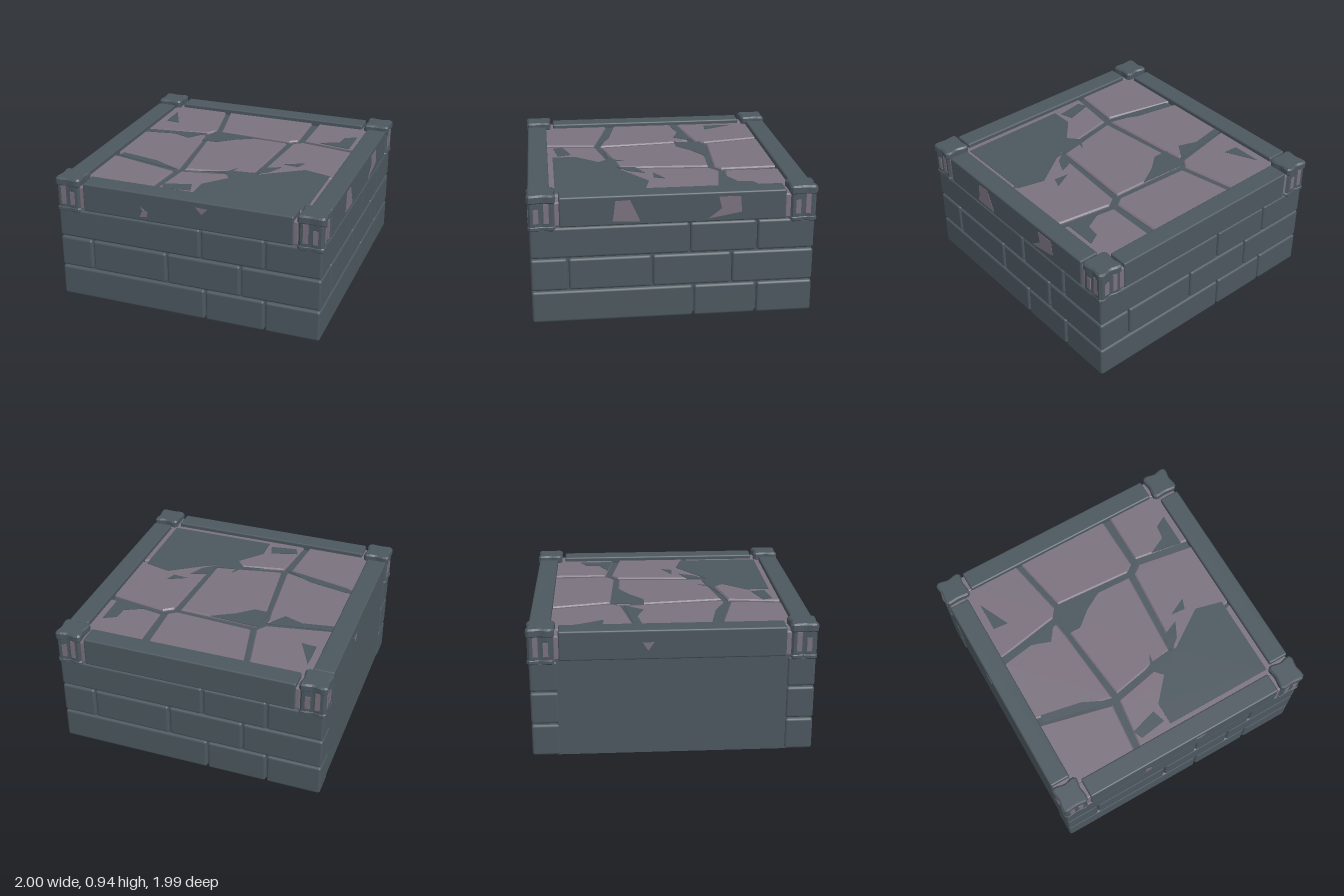
import * as THREE from 'three';
import { RoundedBoxGeometry } from 'three/addons/geometries/RoundedBoxGeometry.js';

export function createModel() {
  const stone = new THREE.MeshStandardMaterial({ color: 0x4b575e });
  stone.name = 'slate grey stone';
  const paving = new THREE.MeshStandardMaterial({ color: 0x7a717d });
  paving.name = 'mauve stone';

  const model = new THREE.Group();
  model.name = 'stonePlatform';

  const add = (parent, name, geometry, material, x = 0, y = 0, z = 0) => {
    const mesh = new THREE.Mesh(geometry, material);
    mesh.name = name;
    mesh.position.set(x, y, z);
    parent.add(mesh);
    return mesh;
  };
  // Rounded block given by its limits on each axis
  const block = (parent, name, material, [x0, x1], [y0, y1], [z0, z1], r = 0.018) =>
    add(parent, name, new RoundedBoxGeometry(x1 - x0, y1 - y0, z1 - z0, 2, r), material,
      (x0 + x1) / 2, (y0 + y1) / 2, (z0 + z1) / 2);
  const outline = pts => new THREE.Shape(pts.map(p => new THREE.Vector2(p[0], p[1])));
  const plate = (pts, depth, bevel = 0) => new THREE.ExtrudeGeometry(outline(pts), {
    depth, bevelEnabled: bevel > 0, bevelThickness: bevel, bevelSize: bevel,
    bevelOffset: -bevel, bevelSegments: 1
  });
  // Lay an outline of (x, z) points flat, hanging down from its top
  const flat = (pts, depth, bevel) => plate(pts, depth, bevel).rotateX(Math.PI / 2);

  // Brick courses: height limits and joints along the wall
  const courses = [
    { y: [0, 0.232], joints: [-0.985, 0.14, 0.585, 0.985] },
    { y: [0.24, 0.472], joints: [-0.985, -0.73, -0.15, 0.405, 0.985] },
    { y: [0.48, 0.702], joints: [-0.985, 0.11, 0.58, 0.985] }
  ];
  // Worn patches on the outer faces of the rim
  const wear = {
    front: [
      [[0.08, 0.875], [0.125, 0.825], [0.17, 0.87]],
      [[-0.335, 0.815], [-0.28, 0.775], [-0.285, 0.74], [-0.34, 0.735], [-0.32, 0.78]]
    ],
    right: [
      [[-0.4, 0.88], [-0.41, 0.79], [-0.42, 0.735], [-0.23, 0.73], [-0.26, 0.8], [-0.3, 0.885]],
      [[0.31, 0.885], [0.33, 0.8], [0.24, 0.73], [0.47, 0.77], [0.46, 0.885]]
    ],
    back: [],
    left: [[[-0.21, 0.83], [-0.17, 0.77], [-0.13, 0.83]]]
  };

  ['front', 'right', 'back', 'left'].forEach((name, i) => {
    const side = new THREE.Group();
    side.name = name + 'Side';
    side.rotation.y = i * Math.PI / 2;
    model.add(side);

    if (name === 'left') {
      // Plain panel closing the unbricked side
      add(side, 'plainPanel', new THREE.BoxGeometry(1.62, 0.71, 0.02), stone, 0, 0.355, 0.965);
    } else {
      courses.forEach(({ y, joints }) => {
        for (let k = 0; k < joints.length - 1; k++) {
          const gapL = k ? 0.005 : 0;
          const gapR = k < joints.length - 2 ? 0.005 : 0;
          block(side, 'brick', stone, [joints[k] + gapL, joints[k + 1] - gapR], y, [0.79, 0.985]);
        }
      });
      add(side, 'mortar', new THREE.BoxGeometry(1.9, 0.66, 0.03), stone, 0, 0.35, 0.945);
    }

    // Rim stone with exposed ends
    block(side, 'rimStone', stone, [-0.78, 0.78], [0.705, 0.918], [0.838, 0.987], 0.012);
    for (const s of [-1, 1]) {
      block(side, 'rimEnd', paving, [s * 0.79 - 0.026, s * 0.79 + 0.026], [0.71, 0.885], [0.845, 0.978], 0.012);
    }
    wear[name].forEach(pts => add(side, 'rimWear', plate(pts, 0.005), paving, 0, 0, 0.984));
  });

  // Corner posts with a wavy, weathered outline
  const postOutline = size => {
    const pts = [];
    for (let k = 0; k < 32; k++) {
      const a = (k + 0.5) * Math.PI / 16;
      const c = Math.cos(a), s = Math.sin(a);
      const square = 1 / Math.pow(c ** 8 + s ** 8, 1 / 8);
      const r = size * (square - 0.06 * (1 + Math.cos(4 * a)) + 0.02 * Math.sin(5 * a));
      pts.push([c * r, s * r]);
    }
    return pts;
  };
  for (const sx of [-1, 1]) for (const sz of [-1, 1]) {
    const post = new THREE.Group();
    post.name = 'cornerPost';
    post.position.set(sx * 0.9, 0, sz * 0.9);
    model.add(post);
    add(post, 'postBody', flat(postOutline(0.092), 0.2, 0.01), stone, 0, 0.9, 0);
    add(post, 'postCap', flat(postOutline(0.1), 0.04, 0.012), stone, 0, 0.928, 0);
    add(post, 'postFoot', flat(postOutline(0.097), 0.02, 0.008), stone, 0, 0.71, 0);
    // Worn strips on the two outer faces
    for (const [w, h, u, y] of [[0.035, 0.14, -0.035, 0.81], [0.035, 0.1, 0.035, 0.79]]) {
      add(post, 'postWear', new THREE.BoxGeometry(w, h, 0.009), paving, u, y, sz * 0.0865);
      add(post, 'postWear', new THREE.BoxGeometry(0.009, h, w), paving, sx * 0.0865, y, u);
    }
  }

  // Bed seen in the cracks between the paving slabs
  add(model, 'pavingBed', new THREE.BoxGeometry(1.7, 0.01, 1.7), stone, 0, 0.86, 0);

  // Irregular paving slabs as (x, z) outlines
  const slabs = [
    [[-0.85, -0.85], [-0.4, -0.85], [-0.31, -0.41], [-0.36, -0.34], [-0.85, -0.25]],
    [[-0.36, -0.85], [0.36, -0.85], [0.37, -0.43], [0.31, -0.385], [-0.27, -0.42]],
    [[0.42, -0.85], [0.85, -0.85], [0.85, -0.385], [0.42, -0.45]],
    [[-0.85, -0.2], [-0.36, -0.29], [-0.34, -0.15], [-0.285, 0.42], [-0.85, 0.28]],
    [[-0.3, -0.37], [0.3, -0.345], [0.26, 0.31], [-0.24, 0.41], [-0.31, -0.2]],
    [[0.35, -0.35], [0.42, -0.4], [0.85, -0.33], [0.85, 0.2], [0.3, 0.32]],
    [[-0.85, 0.34], [-0.31, 0.47], [-0.345, 0.85], [-0.85, 0.85]],
    [[-0.25, 0.46], [0.29, 0.35], [0.85, 0.22], [0.85, 0.85], [-0.3, 0.85]]
  ];
  slabs.forEach(pts => add(model, 'pavingSlab', flat(pts, 0.14, 0.01), paving, 0, 0.875, 0));

  // Worn dark patches on the slabs
  const patches = [
    [[0.8, 0.18], [0.6, 0.13], [0.29, 0.34], [0.06, 0.38], [0.13, 0.46], [-0.02, 0.63], [-0.02, 0.8], [0.8, 0.8]],
    [[-0.78, -0.7], [-0.67, -0.47], [-0.78, -0.48]],
    [[0.79, -0.65], [0.79, -0.39], [0.55, -0.43], [0.69, -0.5], [0.7, -0.6]],
    [[-0.31, -0.38], [0.06, -0.36], [-0.1, -0.27], [-0.22, -0.17], [-0.34, -0.17]],
    [[-0.84, -0.25], [-0.36, -0.32], [-0.46, -0.18], [-0.6, -0.23], [-0.84, -0.19]],
    [[0.42, 0.08], [0.56, 0.01], [0.53, 0.09]],
    [[-0.28, 0.72], [-0.08, 0.66], [-0.05, 0.76], [-0.25, 0.79]],
    [[0.28, 0.2], [0.42, 0.14], [0.36, 0.26], [0.27, 0.33]],
    [[-0.8, 0.28], [-0.5, 0.34], [-0.29, 0.44], [-0.4, 0.43], [-0.8, 0.34]],
    [[0.08, 0.34], [0.12, 0.27], [0.11, 0.33], [0.27, 0.31], [0.27, 0.35], [-0.1, 0.41]]
  ];
  patches.forEach(pts => add(model, 'slabWear', flat(pts, 0.004), stone, 0, 0.888, 0));

  return model;
}
